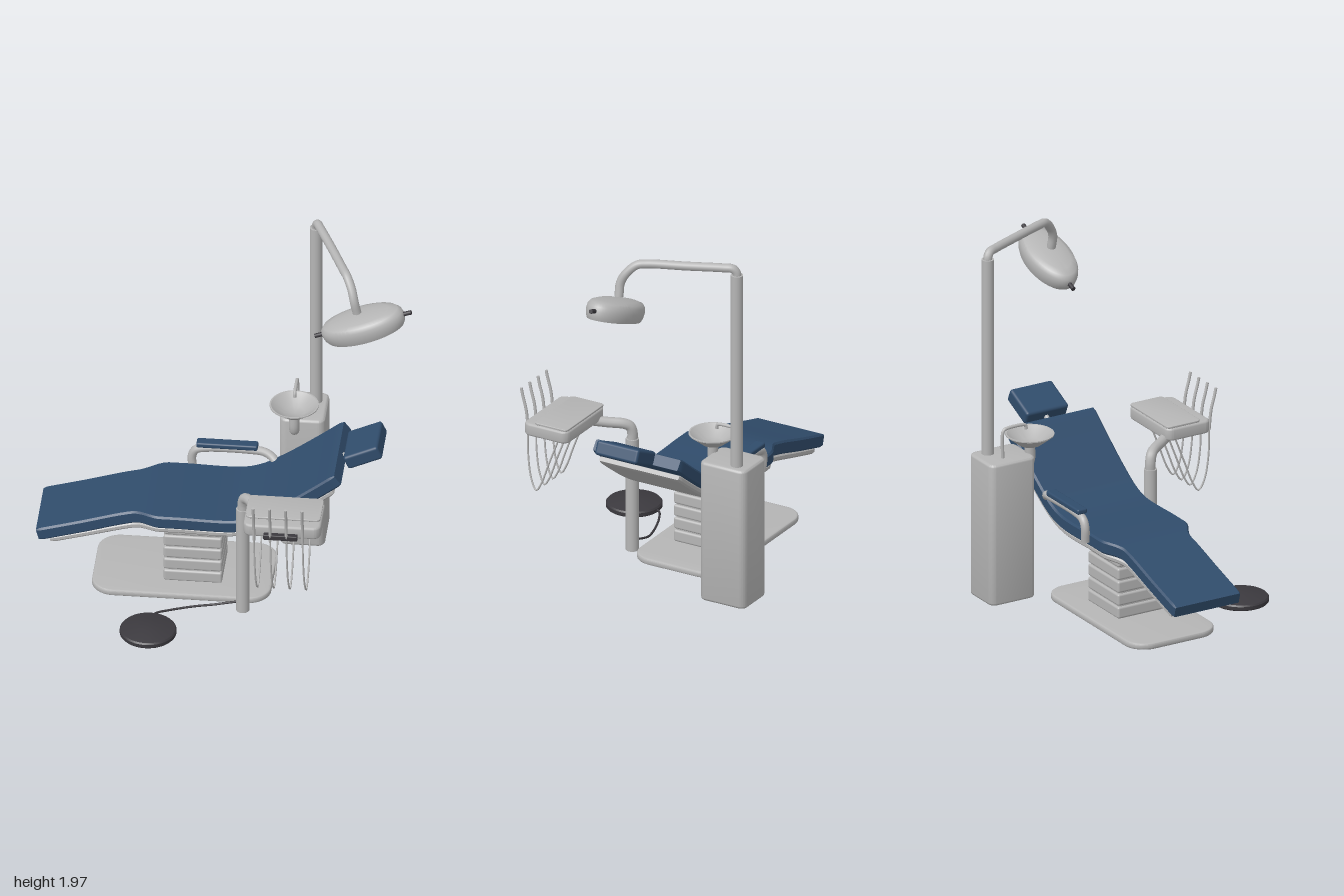
import * as THREE from 'three';
import { toCreasedNormals } from 'three/addons/utils/BufferGeometryUtils.js';
import { RoundedBoxGeometry } from 'three/addons/geometries/RoundedBoxGeometry.js';

const mat = (name, color) => new THREE.MeshStandardMaterial({ name, color });
const V = (p) => new THREE.Vector3(...p);

export function createModel() {
  const grey = mat('lightGrey', 0xb5b5b5);
  const navy = mat('navyUpholstery', 0x304c6b);
  const dark = mat('darkRubber', 0x3b393e);
  const model = new THREE.Group();
  model.name = 'dentalUnit';
  const chairZ = -0.105;

  function add(name, geometry, material, pos = [0, 0, 0], parent = model) {
    const m = new THREE.Mesh(geometry, material);
    m.name = name;
    m.position.set(...pos);
    parent.add(m);
    return m;
  }
  const rbox = (w, h, d, r) => new RoundedBoxGeometry(w, h, d, 3, r);
  const lathe = (pts, seg = 48) =>
    toCreasedNormals(new THREE.LatheGeometry(pts.map((p) => new THREE.Vector2(...p)), seg), 0.6);

  // Tube along a smooth curve, closed by flat discs at both ends
  function tube(name, pts, r, material, parent = model, seg = 48) {
    const curve = new THREE.CatmullRomCurve3(pts.map(V), false, 'centripetal');
    const mesh = add(name, new THREE.TubeGeometry(curve, seg, r, 12), material, [0, 0, 0], parent);
    for (const t of [0, 1]) {
      const dir = curve.getTangent(t).multiplyScalar(t ? 1 : -1);
      const cap = add(name + 'End', new THREE.CircleGeometry(r, 12), material, curve.getPoint(t).toArray(), mesh);
      cap.quaternion.setFromUnitVectors(new THREE.Vector3(0, 0, 1), dir);
    }
    return mesh;
  }

  // Upright slab with rounded plan corners and a small bevel, base at y = 0
  function slab(w, d, h, r, b) {
    const s = new THREE.Shape();
    const x = w / 2 - b, y = d / 2 - b;
    s.moveTo(-x + r, -y);
    s.lineTo(x - r, -y); s.absarc(x - r, -y + r, r, -Math.PI / 2, 0);
    s.lineTo(x, y - r); s.absarc(x - r, y - r, r, 0, Math.PI / 2);
    s.lineTo(-x + r, y); s.absarc(-x + r, y - r, r, Math.PI / 2, Math.PI);
    s.lineTo(-x, -y + r); s.absarc(-x + r, -y + r, r, Math.PI, Math.PI * 1.5);
    const g = new THREE.ExtrudeGeometry(s, {
      depth: h - 2 * b, bevelSize: b, bevelThickness: b, bevelSegments: 3, curveSegments: 10,
    });
    g.rotateX(-Math.PI / 2).translate(0, b, 0);
    return toCreasedNormals(g, 0.6);
  }

  // Padded strip following the reclined profile, narrow at the legs
  function strip(top, thickness, inset, bevel) {
    const curve = new THREE.CatmullRomCurve3(top.map(([x, y]) => new THREE.Vector3(x, y, 0)), false, 'centripetal');
    const rows = 70, pos = [], idx = [];
    for (let i = 0; i <= rows; i++) {
      const p = curve.getPointAt(i / rows), t = curve.getTangentAt(i / rows);
      const hw = 0.205 + 0.06 * THREE.MathUtils.smoothstep(p.x, -0.48, -0.32) - inset;
      const k = (i === 0 || i === rows) ? bevel * 0.6 : 0;
      const section = [[-k, -hw + bevel], [-k, hw - bevel], [-bevel, hw - k], [bevel - thickness, hw - k],
        [k - thickness, hw - bevel], [k - thickness, -hw + bevel], [bevel - thickness, -hw + k], [-bevel, -hw + k]];
      for (const [u, z] of section) pos.push(p.x - t.y * u, p.y + t.x * u, z);
    }
    for (let i = 0; i < rows; i++) {
      for (let j = 0; j < 8; j++) {
        const a = i * 8 + j, b = i * 8 + (j + 1) % 8;
        idx.push(a, b, b + 8, a, b + 8, a + 8);
      }
    }
    const e = rows * 8;
    for (let j = 1; j < 7; j++) idx.push(0, j + 1, j, e, e + j, e + j + 1);
    const g = new THREE.BufferGeometry();
    g.setAttribute('position', new THREE.Float32BufferAttribute(pos, 3));
    g.setIndex(idx);
    return toCreasedNormals(g, 0.5);
  }

  // Chair base and ribbed lift column
  add('chairBase', slab(0.95, 0.53, 0.035, 0.11, 0.01), grey, [-0.215, 0, chairZ]);
  add('liftColumn', rbox(0.29, 0.4, 0.27, 0.015), grey, [-0.157, 0.225, chairZ]);
  for (let i = 0; i < 5; i++) {
    add('columnFold', rbox(0.31, 0.066, 0.292, 0.012), grey, [-0.157, 0.07 + i * 0.073, chairZ]);
  }

  // Upholstery and the shell beneath it
  add('seatCushion', strip([[-0.985, 0.352], [-0.75, 0.42], [-0.52, 0.49], [-0.4, 0.514], [-0.25, 0.518],
    [0.07, 0.518], [0.17, 0.545], [0.3, 0.622], [0.45, 0.73], [0.6, 0.846]], 0.073, 0, 0.01), navy, [0, 0, chairZ]);
  add('seatShell', strip([[-0.915, 0.297], [-0.72, 0.352], [-0.5, 0.415], [-0.38, 0.44], [-0.25, 0.446],
    [0.08, 0.446], [0.2, 0.482], [0.33, 0.558], [0.46, 0.65], [0.585, 0.745]], 0.036, 0.016, 0.01), grey, [0, 0, chairZ]);

  // Headrest on its rod
  add('headrest', rbox(0.2, 0.08, 0.26, 0.016), navy, [0.742, 0.877, chairZ]).rotation.z = 0.43;
  tube('headrestRod', [[0.56, 0.76, chairZ], [0.63, 0.805, chairZ], [0.7, 0.86, chairZ]], 0.014, grey);

  // Armrest on the far side
  tube('armrestFrame', [[-0.2, 0.47, -0.385], [-0.205, 0.55, -0.39], [-0.185, 0.59, -0.39], [-0.13, 0.605, -0.39],
    [0.1, 0.608, -0.39], [0.18, 0.602, -0.385], [0.22, 0.585, -0.37], [0.25, 0.56, -0.345]], 0.023, grey);
  add('armrestPad', rbox(0.325, 0.03, 0.06, 0.01), navy, [-0.018, 0.633, -0.39]);

  // Cabinet, lamp pole and lamp arm
  add('cabinet', slab(0.24, 0.28, 0.8, 0.025, 0.015), grey, [0.375, 0, -0.547]);
  add('lampPole', new THREE.CylinderGeometry(0.033, 0.033, 1.11, 32), grey, [0.43, 1.35, -0.605]);
  tube('lampArm', [[0.43, 1.88, -0.605], [0.431, 1.918, -0.603], [0.44, 1.94, -0.585], [0.46, 1.943, -0.54],
    [0.54, 1.943, -0.36], [0.62, 1.943, -0.17], [0.645, 1.935, -0.12], [0.675, 1.885, -0.07],
    [0.69, 1.83, -0.045], [0.705, 1.76, -0.045]], 0.024, grey, model, 90);

  // Oval lamp head with a recessed lens and a grip at each end
  const lamp = new THREE.Group();
  lamp.name = 'lampHead';
  lamp.position.set(0.738, 1.691, -0.043);
  lamp.rotation.z = 0.35;
  model.add(lamp);
  const shell = new THREE.LatheGeometry([[0, -0.04], [0.86, -0.04], [0.87, -0.05], [0.92, -0.05], [0.975, -0.03],
    [1, 0], [0.98, 0.025], [0.9, 0.045], [0.7, 0.056], [0.4, 0.063], [0, 0.066]].map((p) => new THREE.Vector2(...p)), 56);
  shell.scale(0.232, 1, 0.126);
  add('lampShell', toCreasedNormals(shell, 0.7), grey, [0, 0, 0], lamp);
  for (const s of [-1, 1]) {
    add('lampGrip', new THREE.CylinderGeometry(0.012, 0.012, 0.05, 16), dark, [s * 0.247, 0, 0], lamp).rotation.z = Math.PI / 2;
  }

  // Rinsing bowl, its support and the tap
  add('bowl', lathe([[0, 0.838], [0.045, 0.838], [0.06, 0.845], [0.13, 0.9], [0.13, 0.906], [0.122, 0.906],
    [0.055, 0.855], [0, 0.85]]), grey, [0.335, 0, -0.403]);
  tube('bowlSupport', [[0.335, 0.84, -0.403], [0.335, 0.76, -0.403], [0.335, 0.735, -0.415], [0.335, 0.725, -0.45]], 0.028, grey);
  tube('tap', [[0.335, 0.79, -0.57], [0.335, 0.94, -0.57], [0.335, 0.957, -0.56], [0.335, 0.963, -0.54],
    [0.335, 0.963, -0.445], [0.335, 0.957, -0.43], [0.335, 0.935, -0.425]], 0.009, grey);

  // Instrument tray on its post
  add('trayPost', new THREE.CylinderGeometry(0.035, 0.035, 0.645, 32), grey, [0.127, 0.3225, 0.215]);
  tube('trayArm', [[0.127, 0.63, 0.215], [0.127, 0.68, 0.215], [0.135, 0.715, 0.225], [0.155, 0.732, 0.25],
    [0.2, 0.742, 0.32], [0.25, 0.755, 0.4]], 0.028, grey);
  add('tray', slab(0.41, 0.272, 0.07, 0.03, 0.012), grey, [0.375, 0.75, 0.486]);
  add('trayTop', slab(0.395, 0.205, 0.012, 0.02, 0.003), grey, [0.375, 0.82, 0.456]);
  add('instrumentHolder', rbox(0.18, 0.03, 0.04, 0.005), dark, [0.37, 0.765, 0.63]);

  // Four handpieces, each with a hanging hose
  for (let i = 0; i < 4; i++) {
    const x = 0.23 + i * 0.086, x2 = x + 0.022;
    tube('handpiece', [[x, 0.97, 0.682], [x, 0.93, 0.673], [x, 0.85, 0.652], [x, 0.74, 0.64]], 0.008, grey);
    tube('hose', [[x, 0.75, 0.64], [x + 0.003, 0.6, 0.638], [x + 0.008, 0.46, 0.615], [x + 0.014, 0.404, 0.583],
      [x + 0.018, 0.45, 0.55], [x2, 0.58, 0.5], [x2, 0.76, 0.43]], 0.005, grey);
  }

  // Foot control and cable
  add('footControl', lathe([[0, 0], [0.145, 0], [0.15, 0.006], [0.15, 0.024], [0.143, 0.032], [0.06, 0.052], [0, 0.055]]),
    dark, [-0.347, 0, 0.484]);
  tube('footCable', [[-0.34, 0.018, 0.36], [-0.325, 0.016, 0.32], [-0.26, 0.012, 0.28], [-0.13, 0.012, 0.23],
    [-0.03, 0.015, 0.207], [0.03, 0.028, 0.206], [0.1, 0.048, 0.213]], 0.006, dark);

  return model;
}
